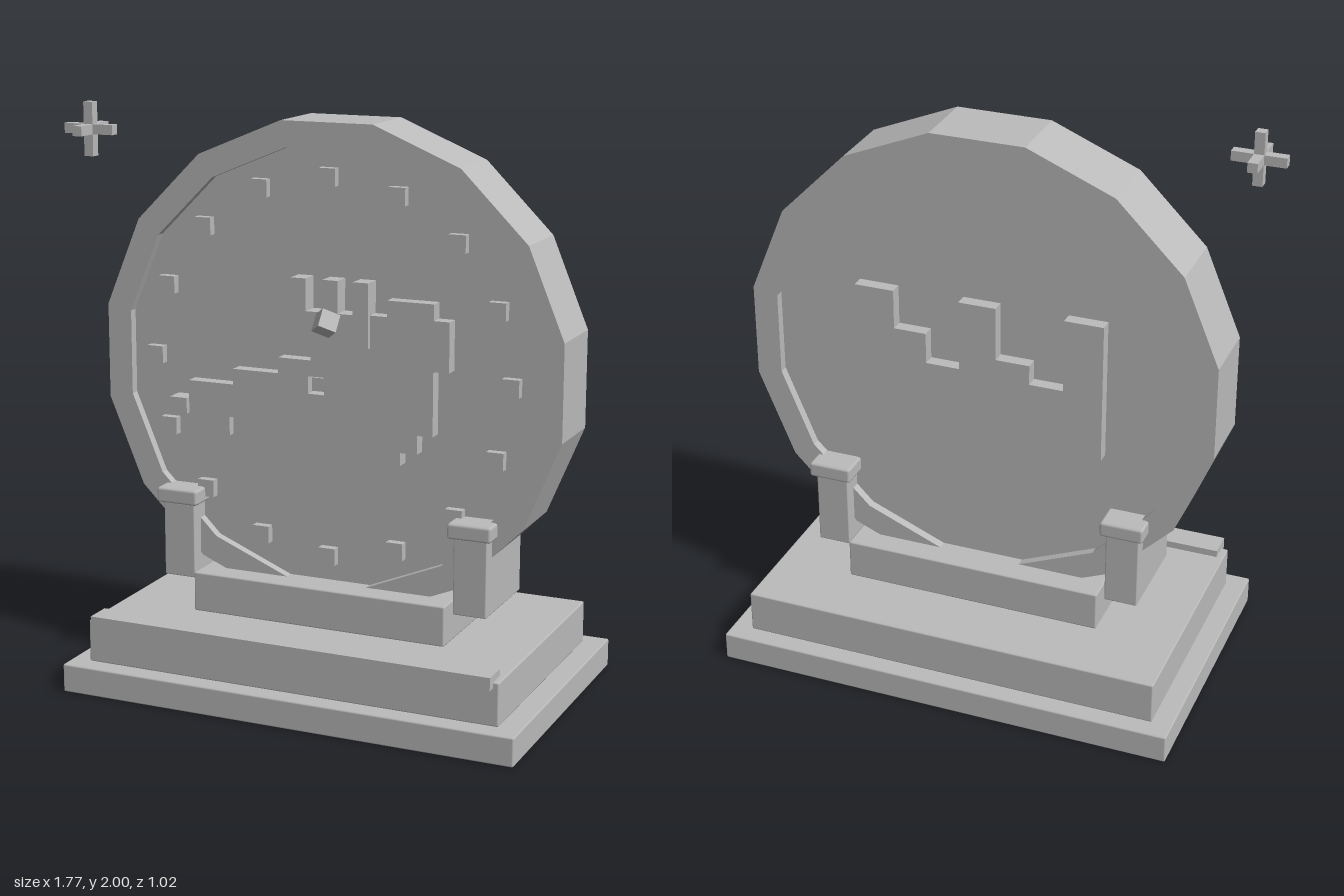
import * as THREE from 'three';
import { RoundedBoxGeometry } from 'three/addons/geometries/RoundedBoxGeometry.js';

const stone = new THREE.MeshStandardMaterial({ color: 0xbbbbbb });
stone.name = 'grey stone';

const CX = 0.05, CY = 1.13; // centre of the medallion

export function createModel() {
  const root = new THREE.Group();
  root.name = 'medallionTrophy';

  const add = (name, geometry, x = 0, y = 0, z = 0) => {
    const mesh = new THREE.Mesh(geometry, stone);
    mesh.name = name;
    mesh.position.set(x, y, z);
    root.add(mesh);
    return mesh;
  };
  // Box given by its limits; an optional radius softens the edges
  const box = (name, x0, x1, y0, y1, z0, z1, r = 0) => {
    const s = [x1 - x0, y1 - y0, z1 - z0];
    const g = r ? new RoundedBoxGeometry(...s, 1, r) : new THREE.BoxGeometry(...s);
    return add(name, g, (x0 + x1) / 2, (y0 + y1) / 2, (z0 + z1) / 2);
  };
  const outline = (pts) => pts.map(([x, y]) => new THREE.Vector2(x, y));
  const slab = (name, shape, z0, z1) =>
    add(name, new THREE.ExtrudeGeometry(shape, { depth: z1 - z0, bevelEnabled: false }), 0, 0, z0);
  const polygon = (r) => Array.from({ length: 16 }, (_, i) => {
    const a = (i + 0.5) * Math.PI / 8;
    return [CX + r * Math.cos(a), CY + r * Math.sin(a)];
  });

  // Stepped plinth and front ledge
  box('baseStep', -0.77, 0.87, 0, 0.1, -0.51, 0.51, 0.006);
  box('middleStep', -0.7, 0.795, 0.1, 0.25, -0.445, 0.445, 0.006);
  box('topStep', -0.415, 0.515, 0.25, 0.39, -0.207, 0.207, 0.006);
  box('frontLedge', -0.675, 0.775, 0.23, 0.275, 0.38, 0.475);

  // Sixteen-sided rim with a recessed disc
  const rim = new THREE.Shape(outline(polygon(0.846)));
  rim.holes.push(new THREE.Path(outline(polygon(0.755))));
  slab('rim', rim, -0.122, 0.122);
  slab('disc', new THREE.Shape(outline(polygon(0.76))), -0.09, 0.09);

  // Side posts with caps
  for (const s of [-1, 1]) {
    const x = CX + s * 0.539;
    box('post', x - 0.059, x + 0.059, 0.355, 0.62, -0.17, 0.17, 0.005);
    box('postCap', x - 0.077, x + 0.077, 0.62, 0.675, -0.19, 0.19, 0.01);
  }

  // Ring of square studs
  for (let i = 0; i < 16; i++) {
    const a = i * Math.PI / 8;
    add('stud', new THREE.BoxGeometry(0.06, 0.06, 0.04),
      CX + 0.65 * Math.cos(a), CY + 0.65 * Math.sin(a), 0.1);
  }

  // Blocky animal relief with an eye socket
  const animal = new THREE.Shape(outline([
    [0, 1.225], [0, 1.165], [-0.12, 1.165], [-0.12, 1.11], [-0.29, 1.11], [-0.29, 1.055],
    [-0.46, 1.055], [-0.46, 0.94], [-0.4, 0.94], [-0.4, 0.875], [-0.305, 0.875], [-0.305, 0.94],
    [-0.29, 0.94], [-0.29, 0.835], [0.325, 0.835], [0.325, 0.88], [0.385, 0.88], [0.385, 0.945],
    [0.44, 0.945], [0.44, 1.165], [0.495, 1.165], [0.495, 1.335], [0.44, 1.335], [0.44, 1.39],
    [0.275, 1.39], [0.275, 1.335], [0.21, 1.335], [0.21, 1.225],
  ]));
  animal.holes.push(new THREE.Path(outline([[-0.01, 1.05], [0.05, 1.05], [0.05, 1.11], [-0.01, 1.11]])));
  slab('animalRelief', animal, 0.085, 0.138);
  box('eye', -0.003, 0.043, 1.057, 1.103, 0.085, 0.12);
  box('snout', -0.525, -0.46, 0.94, 0.995, 0.085, 0.157);

  // Three-pronged crown and its tilted gem
  box('crownBand', -0.065, 0.215, 1.225, 1.335, 0.085, 0.155);
  for (const x of [-0.065, 0.05, 0.16]) box('crownProng', x, x + 0.055, 1.335, 1.445, 0.085, 0.155);
  const gem = add('gem', new THREE.BoxGeometry(0.064, 0.064, 0.064), 0.077, 1.307, 0.185);
  gem.rotation.set(-0.65, 0.72, 0);

  // Stepped relief on the back, laid out from +x to -x
  const back = [
    [0, 0], [0.16, 0], [0.16, 0.14], [0.29, 0.14], [0.29, 0.25], [0.425, 0.25], [0.425, 0],
    [0.575, 0], [0.575, 0.19], [0.71, 0.19], [0.71, 0.26], [0.845, 0.26], [0.845, 0],
    [1, 0], [1, 0.5], [0, 0.5],
  ].map(([u, drop]) => [0.49 - u * 0.885, 1.38 - drop]);
  slab('backRelief', new THREE.Shape(outline(back)), -0.135, -0.085);

  // Floating sparkle made of three crossed bars
  for (let i = 0; i < 3; i++) {
    const s = [0.034, 0.034, 0.034];
    s[i] = 0.184;
    add('sparkleBar', new THREE.BoxGeometry(...s), -0.795, 1.908, 0.187);
  }
  root.position.x = -0.05; // the widest parts balance about x = 0 below
  root.position.x = 0;
  return root;
}
